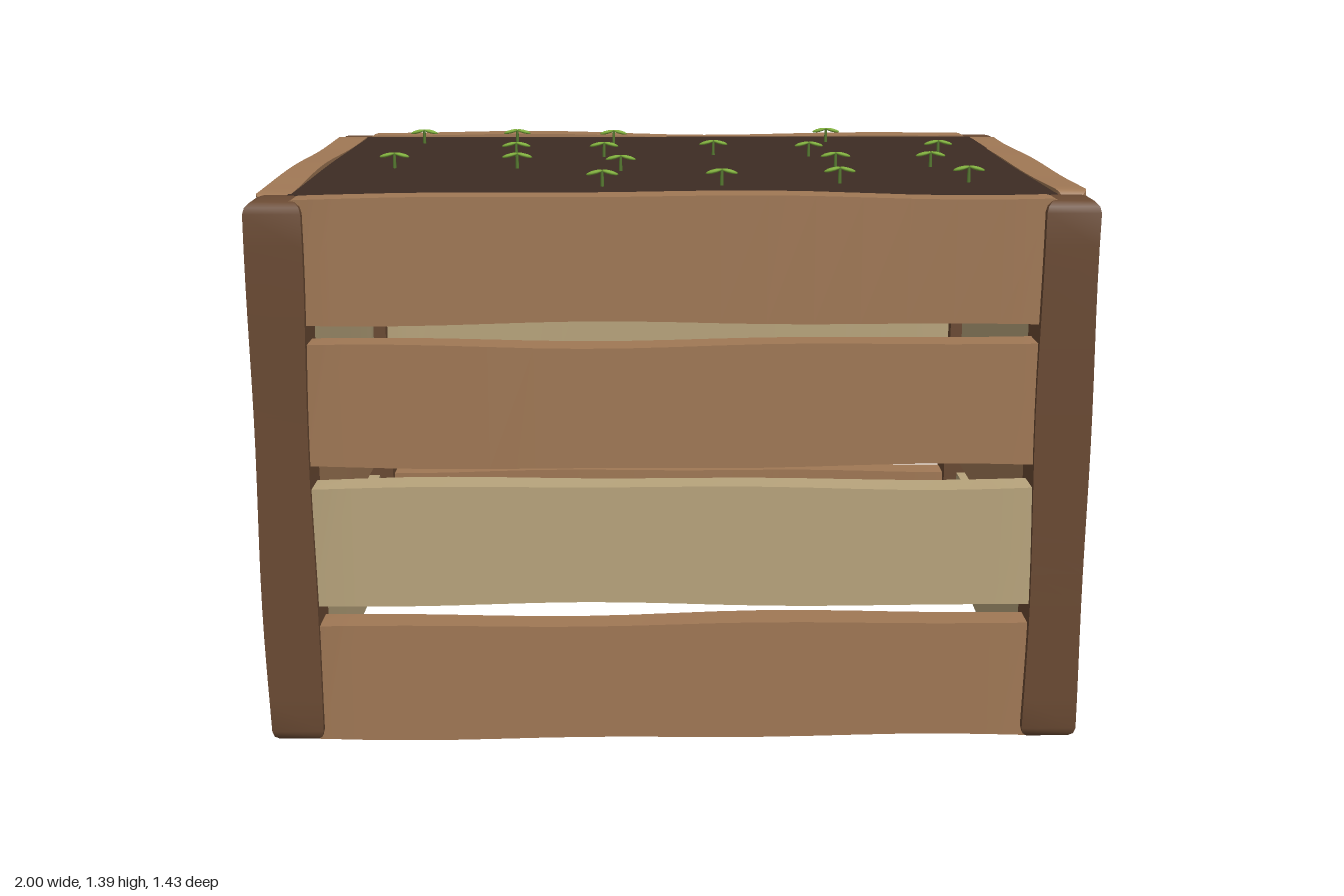
import * as THREE from 'three';
import { toCreasedNormals } from 'three/addons/utils/BufferGeometryUtils.js';

function material(name, color) {
  const m = new THREE.MeshStandardMaterial({ color });
  m.name = name;
  return m;
}

// Rough-hewn timber running along z: rounded section, bevelled ends, wavy edges.
function timber(length, width, depth, bevel, wave, seed) {
  const w = width / 2 - bevel, d = depth / 2 - bevel;
  const shape = new THREE.Shape();
  shape.moveTo(-w, -d).lineTo(w, -d).lineTo(w, d).lineTo(-w, d).closePath();
  const geo = new THREE.ExtrudeGeometry(shape, {
    depth: length - 2 * bevel, steps: 16,
    bevelEnabled: true, bevelSize: bevel, bevelThickness: bevel, bevelSegments: 3,
  });
  geo.translate(0, 0, -length / 2 + bevel);
  const p = geo.attributes.position;
  for (let i = 0; i < p.count; i++) {
    const x = p.getX(i), y = p.getY(i), z = p.getZ(i);
    const side = x / (width / 2), face = y / (depth / 2);
    p.setX(i, x + wave * (0.6 * Math.sin(3.6 * z + seed) + 0.4 * side * Math.sin(7.3 * z + seed * 2.3)));
    p.setY(i, y + wave * 0.4 * face * Math.sin(5.1 * z + seed * 1.7));
  }
  return toCreasedNormals(geo, 0.7);
}

export function createModel() {
  const crate = new THREE.Group();
  crate.name = 'planterCrate';
  const brown = material('brown wood', 0xa07855);
  const tan = material('pale wood', 0xb8a47c);
  const dark = material('dark post wood', 0x6a4a33);
  const earth = material('soil', 0x3d2c23);
  const leafGreen = material('leaf green', 0x7fae3c);
  const stemGreen = material('stem green', 0x55792e);

  const add = (parent, name, geo, mat, x = 0, y = 0, z = 0) => {
    const mesh = new THREE.Mesh(geo, mat);
    mesh.name = name;
    mesh.position.set(x, y, z);
    parent.add(mesh);
    return mesh;
  };

  // Corner posts
  for (const sx of [-1, 1]) {
    for (const sz of [-1, 1]) {
      const geo = timber(1.345, 0.13, 0.132, 0.03, 0.006, sx * 2 + sz);
      geo.rotateX(-Math.PI / 2);
      add(crate, 'cornerPost', geo, dark, sx * 0.928, 0.683, sz * 0.648);
    }
  }

  // Four boards per wall, listed from bottom to top
  const walls = [
    { name: 'frontBoard', length: 1.8, x: 0, z: 0.658, colors: [brown, tan, brown, brown] },
    { name: 'backBoard', length: 1.8, x: 0, z: -0.658, colors: [brown, brown, tan, brown] },
    { name: 'leftBoard', length: 1.24, x: 0.94, z: 0, colors: [tan, brown, tan, brown] },
    { name: 'rightBoard', length: 1.24, x: -0.94, z: 0, colors: [tan, brown, tan, brown] },
  ];
  walls.forEach((wall, w) => {
    wall.colors.forEach((mat, row) => {
      const geo = timber(wall.length, 0.298, 0.078, 0.022, 0.007, w * 1.9 + row * 2.7);
      geo.rotateZ(Math.PI / 2);
      if (wall.x === 0) geo.rotateY(Math.PI / 2);
      add(crate, wall.name, geo, mat, wall.x, 0.162 + row * 0.35, wall.z);
    });
  });

  // Soil bed
  add(crate, 'soil', new THREE.BoxGeometry(1.81, 0.05, 1.24), earth, 0, 1.332, 0);

  // Seedlings: a stem with two drooping leaves
  const stemGeo = new THREE.CylinderGeometry(0.004, 0.005, 0.045, 6);
  const leafGeo = new THREE.SphereGeometry(1, 10, 6);
  leafGeo.scale(0.021, 0.005, 0.011);
  const spots = [
    [-0.71, -0.45], [-0.44, -0.45], [-0.16, -0.43], [0.46, -0.48],
    [-0.42, -0.12], [-0.18, -0.12], [0.12, -0.16], [0.38, -0.12], [0.74, -0.155],
    [-0.72, 0.12], [-0.4, 0.13], [-0.13, 0.18], [0.43, 0.12], [0.68, 0.11],
    [-0.17, 0.48], [0.12, 0.46], [0.41, 0.43], [0.73, 0.41],
  ];
  for (const [x, z] of spots) {
    const seedling = new THREE.Group();
    seedling.name = 'seedling';
    seedling.position.set(x, 1.35, z);
    add(seedling, 'stem', stemGeo, stemGreen, 0, 0.022, 0);
    for (const s of [-1, 1]) {
      add(seedling, 'leaf', leafGeo, leafGreen, s * 0.019, 0.041, 0).rotation.z = -s * 0.25;
    }
    crate.add(seedling);
  }
  return crate;
}
